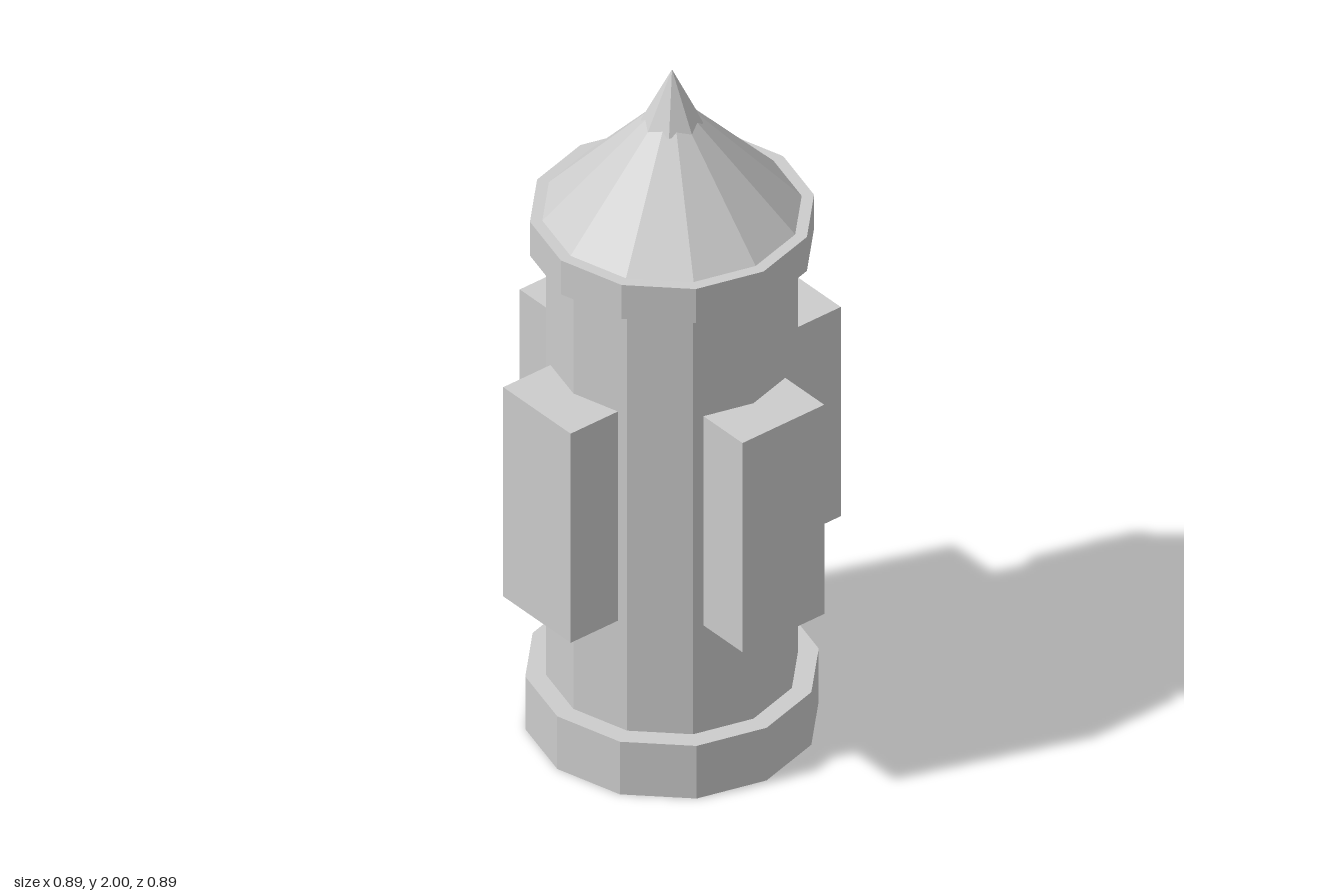
import * as THREE from 'three';

export function createModel() {
  const tower = new THREE.Group();
  tower.name = 'tower';

  const stone = new THREE.MeshStandardMaterial({ color: 0xcccccc });
  stone.name = 'pale grey stone';
  stone.flatShading = true;

  const add = (name, geometry, x, y, z) => {
    const mesh = new THREE.Mesh(geometry, stone);
    mesh.name = name;
    mesh.position.set(x, y, z);
    tower.add(mesh);
    return mesh;
  };

  // A faceted ring or cone spanning the heights y0 to y1
  const drum = (name, rTop, rBottom, y0, y1, sides = 12) =>
    add(name, new THREE.CylinderGeometry(rTop, rBottom, y1 - y0, sides), 0, (y0 + y1) / 2, 0);

  drum('base', 0.379, 0.379, 0, 0.163);
  drum('shaft', 0.326, 0.326, 0.163, 1.465);
  drum('collar', 0.367, 0.367, 1.465, 1.57);
  drum('roof', 0, 0.335, 1.57, 1.925);
  drum('spireTip', 0, 0.08, 1.84, 2, 8);

  // Four buttress blocks, one on each side, sunk into the shaft
  const inner = 0.2, outer = 0.446;
  const block = new THREE.BoxGeometry(0.27, 0.648, outer - inner);
  ['front', 'left', 'back', 'right'].forEach((side, i) => {
    const angle = i * Math.PI / 2;
    const r = (inner + outer) / 2;
    add(side + 'Block', block, Math.sin(angle) * r, 0.816, Math.cos(angle) * r).rotation.y = angle;
  });

  return tower;
}
